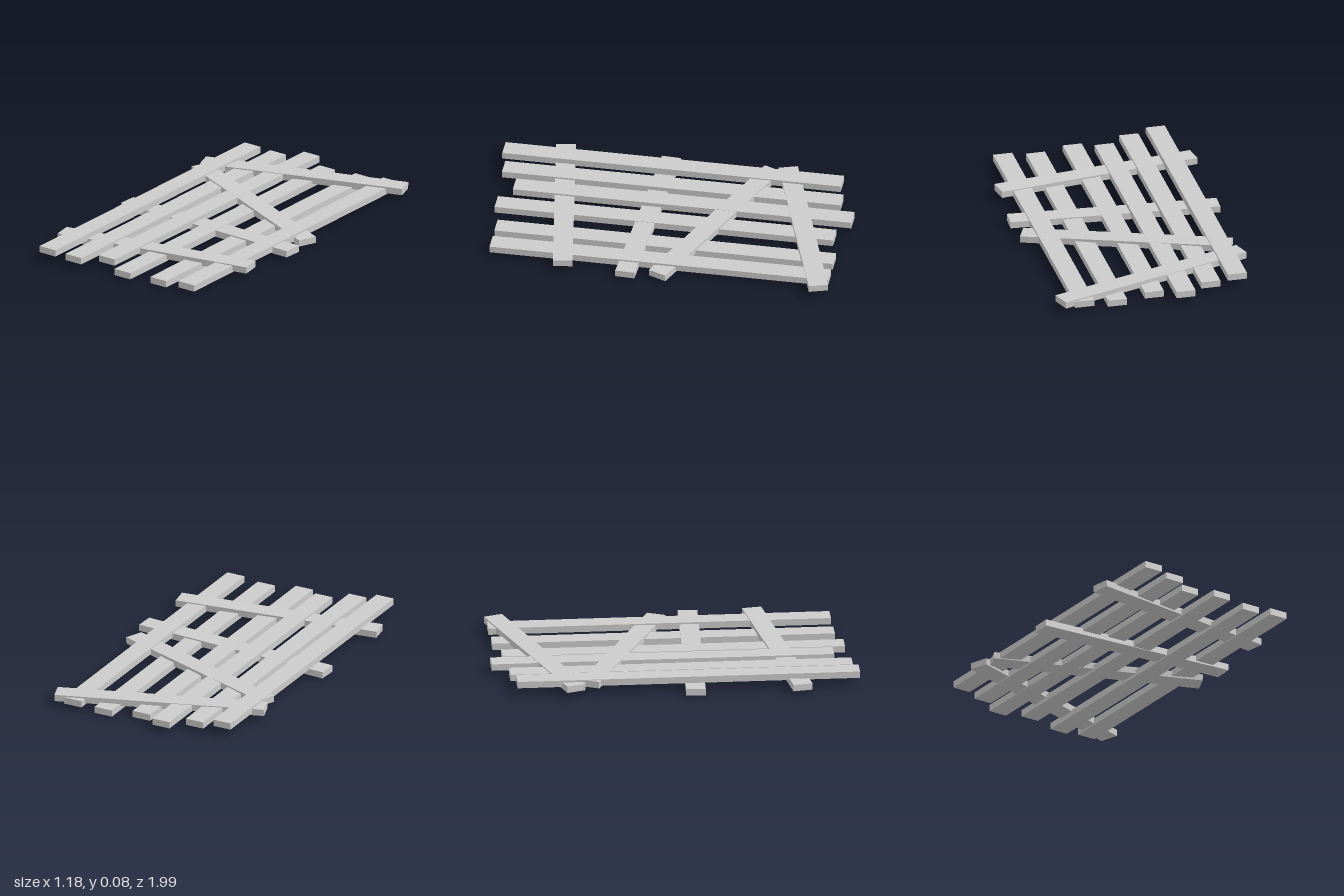
import * as THREE from 'three';

const WIDTH = 0.107, THICK = 0.037;

export function createModel() {
  const group = new THREE.Group();
  group.name = 'plankPanel';
  const material = new THREE.MeshStandardMaterial({ color: 0xcccccc, flatShading: true });

  // A straight board whose centre line runs from a to b
  function board(name, a, b, width) {
    const from = new THREE.Vector3(...a), to = new THREE.Vector3(...b);
    const mesh = new THREE.Mesh(new THREE.BoxGeometry(width, THICK, from.distanceTo(to)), material);
    mesh.name = name;
    mesh.position.copy(from).add(to).multiplyScalar(0.5);
    mesh.lookAt(to);
    group.add(mesh);
  }

  // Long planks: centre x, centre y, back end z (all the same length)
  const planks = [
    [-0.447, 0.063, -0.885],
    [-0.291, 0.046, -0.911],
    [-0.130, 0.048, -1.0],
    [0.031, 0.030, -0.927],
    [0.247, 0.023, -0.964],
    [0.433, 0.041, -0.970],
  ];
  planks.forEach(([x, y, z], i) =>
    board(`longPlank${i + 1}`, [x, y, z], [x, y, z + 1.878], WIDTH));

  // Crooked cross boards woven between the planks: right end, left end
  const slats = [
    [[-0.548, 0.052, -0.567], [0.558, 0.049, -0.931]],
    [[-0.510, 0.060, -0.490], [0.558, 0.028, -0.035]],
    [[-0.579, 0.020, 0.086], [0.588, 0.034, 0.139]],
    [[-0.585, 0.032, 0.673], [0.561, 0.048, 0.488]],
  ];
  slats.forEach(([a, b], i) => board(`crossBoard${i + 1}`, a, b, WIDTH));

  return group;
}
